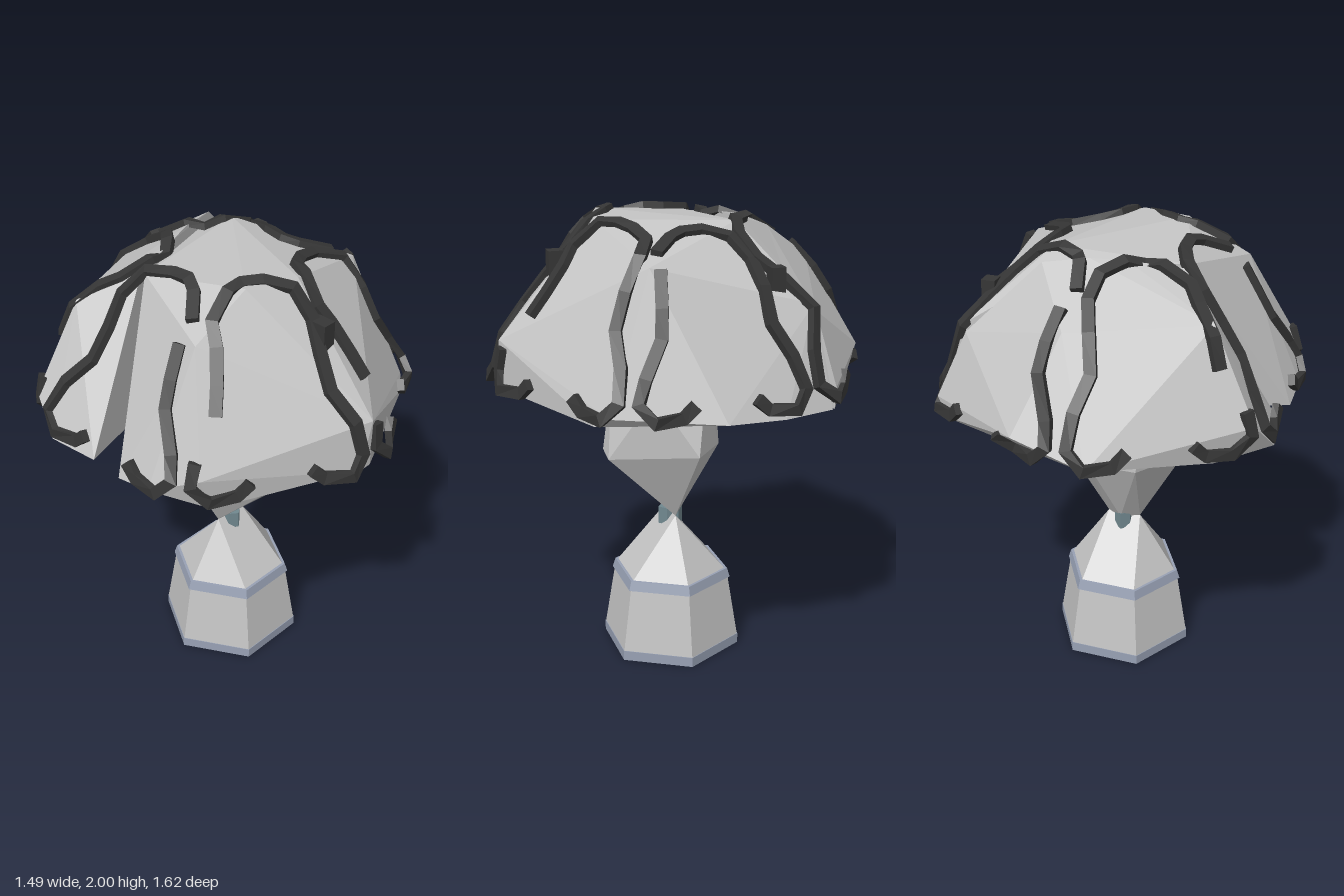
import * as THREE from 'three';
import { ConvexGeometry } from 'three/addons/geometries/ConvexGeometry.js';

const V = (x, y, z) => new THREE.Vector3(x, y, z);

function material(name, color, extra = {}) {
  const m = new THREE.MeshStandardMaterial({ color, flatShading: true, ...extra });
  m.name = name;
  return m;
}

// Faceted solid around a handful of corner points
function hull(name, points, mat) {
  const mesh = new THREE.Mesh(new ConvexGeometry(points.map(p => V(...p))), mat);
  mesh.name = name;
  return mesh;
}

// Six-sided drum with corners on the x axis
function drum(name, rTop, rBottom, y0, y1, mat) {
  const geo = new THREE.CylinderGeometry(rTop, rBottom, y1 - y0, 6);
  geo.rotateY(Math.PI / 6);
  geo.translate(0, (y0 + y1) / 2, 0);
  const mesh = new THREE.Mesh(geo, mat);
  mesh.name = name;
  return mesh;
}

function box(name, size, position, mat) {
  const mesh = new THREE.Mesh(new THREE.BoxGeometry(...size), mat);
  mesh.position.set(...position);
  mesh.name = name;
  return mesh;
}

// Flat bar swept through points, lying on the surface around a centre
function bar(points, centre, halfWidth, halfThick) {
  const rings = points.map((p, i) => {
    const t = points[Math.min(i + 1, points.length - 1)].clone().sub(points[Math.max(i - 1, 0)]).normalize();
    const n = p.clone().sub(centre).normalize();
    const w = t.clone().cross(n).normalize();
    n.crossVectors(w, t).normalize();
    return [[1, 1], [-1, 1], [-1, -1], [1, -1]].map(([a, b]) =>
      p.clone().addScaledVector(w, a * halfWidth).addScaledVector(n, b * halfThick));
  });
  const pos = [];
  const quad = (a, b, c, d) => [a, b, c, a, c, d].forEach(v => pos.push(v.x, v.y, v.z));
  for (let i = 0; i < rings.length - 1; i++) {
    for (let k = 0; k < 4; k++) {
      const l = (k + 1) % 4;
      quad(rings[i][k], rings[i][l], rings[i + 1][l], rings[i + 1][k]);
    }
  }
  const s = rings[0], e = rings[rings.length - 1];
  quad(s[3], s[2], s[1], s[0]);
  quad(e[0], e[1], e[2], e[3]);
  const geo = new THREE.BufferGeometry();
  geo.setAttribute('position', new THREE.Float32BufferAttribute(pos, 3));
  geo.computeVertexNormals();
  return geo;
}

export function createModel() {
  const group = new THREE.Group();
  const grey = material('pale grey', 0xc4c4c4);
  const metal = material('blue grey metal', 0x98a1b4);
  const teal = material('teal grey', 0x728990);
  const dark = material('dark leading', 0x363636, { side: THREE.DoubleSide });

  // Pedestal
  group.add(drum('baseplate', 0.315, 0.315, 0, 0.045, metal));
  group.add(drum('pedestal', 0.265, 0.312, 0.045, 0.33, grey));
  group.add(drum('pedestalBand', 0.262, 0.275, 0.33, 0.372, metal));
  const ring = [];
  for (let i = 0; i < 6; i++) {
    const a = i * Math.PI / 3;
    ring.push([0.25 * Math.cos(a), 0.37, 0.25 * Math.sin(a)]);
  }
  group.add(hull('pedestalRoof', [...ring, [-0.08, 0.635, 0], [0.07, 0.635, 0]], grey));

  // Joint between pedestal and vase
  const joint = new THREE.Mesh(new THREE.CylinderGeometry(0.056, 0.056, 0.08, 6), teal);
  joint.scale.x = 0.75;
  joint.position.set(-0.005, 0.618, 0);
  joint.name = 'joint';
  group.add(joint);

  // Vase and its collar
  group.add(hull('vase', [
    [-0.08, 0.635, 0], [0.07, 0.635, 0], [0, 0.635, -0.04],
    [-0.27, 0.97, 0.02], [-0.04, 0.95, 0.3], [0.05, 0.93, 0.3],
    [0.28, 0.98, -0.04], [0.1, 0.97, -0.19], [-0.12, 0.97, -0.19],
    [-0.22, 1.25, 0.08], [-0.03, 1.25, 0.26], [0.19, 1.25, 0.13],
    [0.18, 1.25, -0.1], [0.04, 1.25, -0.19], [-0.16, 1.25, -0.18],
  ], grey));
  group.add(drum('collar', 0.18, 0.16, 1.245, 1.275, grey));

  // Shade: a large front shell and a back shell split by a narrow slit
  const front = hull('shadeFront', [
    [-0.33, 1.94, -0.15], [0.22, 1.975, -0.21], [0.48, 1.86, 0.24], [0.02, 1.975, 0.34],
    [-0.2, 1.985, 0.27], [-0.47, 1.85, 0.27], [0.14, 1.93, -0.3], [0.53, 1.68, -0.43],
    [0.02, 1.5, 0.75], [-0.04, 1.29, 0.75], [0.02, 1.29, 0.75], [-0.72, 1.27, 0.08],
    [-0.72, 1.3, 0.25], [-0.65, 1.42, 0.47], [-0.6, 1.27, 0.48], [0.56, 1.27, 0.49],
    [0.61, 1.31, 0.44], [0.735, 1.28, 0], [0.71, 1.27, -0.25], [0.65, 1.27, -0.475],
  ], grey);
  const back = hull('shadeBack', [
    [-0.33, 1.93, -0.175], [-0.1, 1.96, -0.245], [0.04, 1.97, -0.29], [0.22, 1.95, -0.345],
    [0.04, 1.78, -0.6], [-0.5, 1.8, -0.38], [0.52, 1.65, -0.445], [0.645, 1.36, -0.49],
    [0.645, 1.27, -0.485], [0.19, 1.4, -0.79], [-0.12, 1.31, -0.8], [-0.69, 1.42, -0.44],
    [-0.74, 1.28, -0.3], [-0.71, 1.27, -0.08], [0, 1.27, -0.5], [-0.55, 1.27, -0.5],
  ], grey);
  group.add(front, back);

  // Leading: arched outline per panel as [degrees, radius, height]
  const arch = [
    [25, 0.46, 1.92], [18, 0.33, 1.97], [8, 0.28, 1.98], [-9, 0.285, 1.98], [-26, 0.36, 1.96],
    [-28, 0.47, 1.88], [-24, 0.55, 1.76], [-22, 0.61, 1.62], [-26, 0.69, 1.5], [-27, 0.78, 1.38],
    [-22, 0.8, 1.315], [-14, 0.75, 1.32], [-10, 0.74, 1.37],
  ];
  const upper = [[22, 0.5, 1.82], [21, 0.57, 1.7], [21, 0.62, 1.6]];
  const hook = [[26, 0.7, 1.46], [27, 0.78, 1.38], [22, 0.8, 1.315], [14, 0.75, 1.32], [10, 0.74, 1.37]];
  const gapAtTop = [arch, [...upper, ...hook]];
  const gapBelow = [[...upper.slice().reverse(), ...arch], hook];
  const centre = V(0, 1.25, 0);
  const ray = new THREE.Raycaster();
  const onShade = (deg, r, y) => {
    const a = THREE.MathUtils.degToRad(deg);
    const p = V(r * Math.cos(a), y, r * Math.sin(a));
    const dir = p.clone().sub(centre).normalize();
    ray.set(centre.clone().addScaledVector(dir, 3), dir.clone().negate());
    const hit = ray.intersectObjects([front, back])[0];
    let d = hit ? hit.point.distanceTo(centre) + 0.01 : p.distanceTo(centre);
    if (y < 1.45) d = Math.max(d, p.distanceTo(centre) - 0.02);
    p.copy(centre).addScaledVector(dir, d);
    p.y = Math.min(p.y, 1.982);
    return p;
  };
  const leading = new THREE.Group();
  leading.name = 'leading';
  for (let i = 0; i < 6; i++) {
    const flip = i < 3 ? 1 : -1; // the broken strand swaps sides on the far panels
    for (const path of [1, 2, 4].includes(i) ? gapBelow : gapAtTop) {
      const pts = path.map(([d, r, y]) => onShade(d * flip + i * 60, r, y));
      const mesh = new THREE.Mesh(bar(pts, centre, 0.025, 0.015), dark);
      mesh.name = 'leadingStrip';
      leading.add(mesh);
    }
  }
  group.add(leading);

  // Dark studs between panels, and clips holding the shade on the vase
  group.add(box('panelStud', [0.06, 0.13, 0.08], [-0.005, 1.79, 0.49], dark));
  group.add(box('panelStud', [0.06, 0.18, 0.06], [0.47, 1.74, -0.29], dark));
  for (const p of [[0, 1.26, 0.24], [0.19, 1.24, -0.1], [-0.15, 1.245, -0.19]]) {
    group.add(box('shadeClip', [0.05, 0.055, 0.05], p, dark));
  }
  return group;
}
